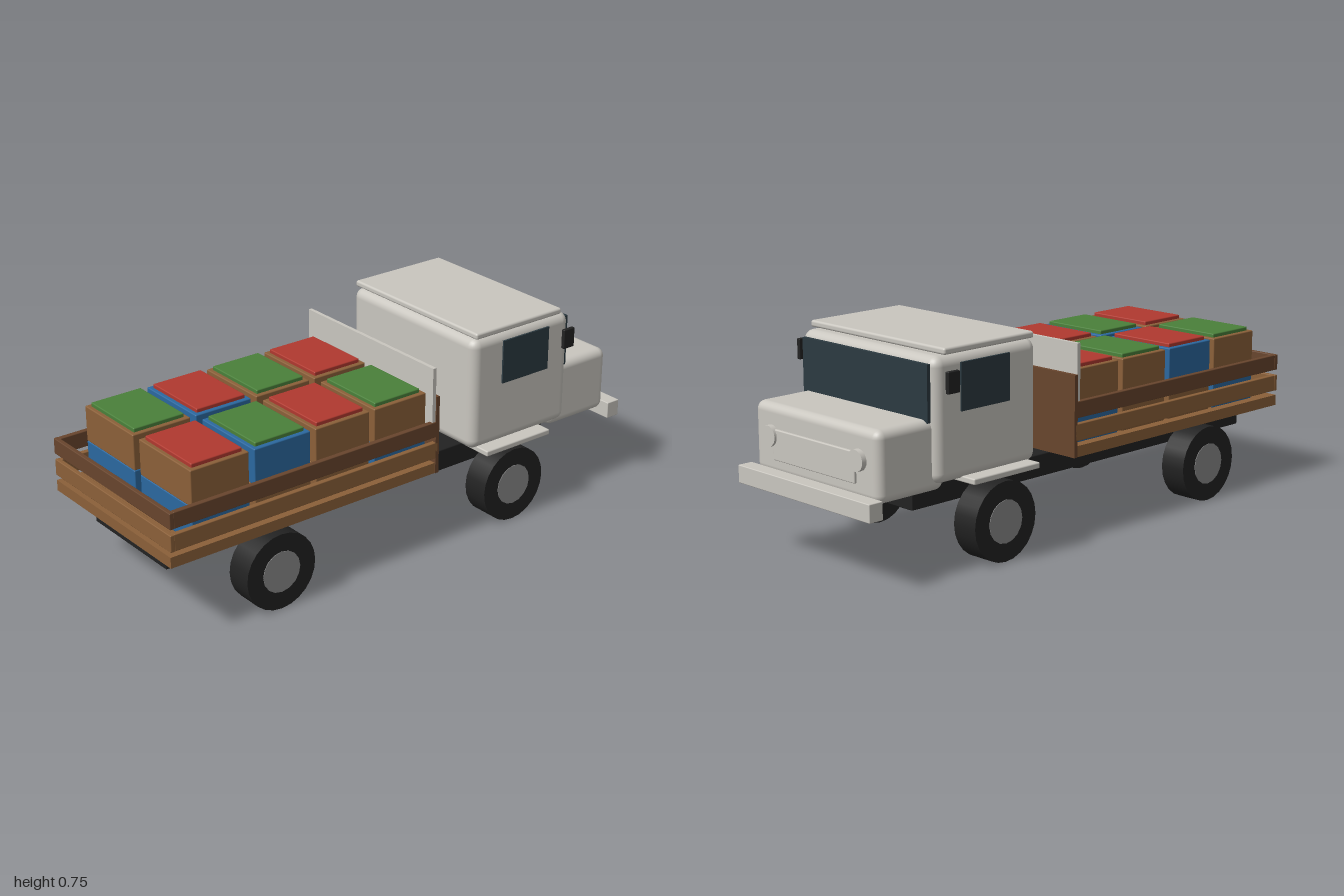
import * as THREE from 'three';
import { RoundedBoxGeometry } from 'three/addons/geometries/RoundedBoxGeometry.js';

const paint = (name, color) => {
  const m = new THREE.MeshStandardMaterial({ color });
  m.name = name;
  return m;
};

export function createModel() {
  const mat = {
    body: paint('offWhitePaint', 0xc9c6bf),
    black: paint('blackRubber', 0x222222),
    hub: paint('greyMetal', 0x8a8a8a),
    wood: paint('lightWood', 0x8b6039),
    darkWood: paint('darkWood', 0x68452d),
    blue: paint('bluePaint', 0x2b689f),
    green: paint('greenLid', 0x4a803a),
    red: paint('redLid', 0xb0392f),
    glass: paint('darkGlass', 0x2c3a41),
  };
  const truck = new THREE.Group();
  truck.name = 'cargoTruck';

  const add = (name, geometry, material, x, y, z, parent = truck) => {
    const mesh = new THREE.Mesh(geometry, material);
    mesh.name = name;
    mesh.position.set(x, y, z);
    parent.add(mesh);
    return mesh;
  };
  // Box given by its lower and upper limits; a radius rounds the edges
  const box = (name, material, [x0, x1], [y0, y1], [z0, z1], radius = 0, parent = truck) => {
    const size = [x1 - x0, y1 - y0, z1 - z0];
    const geometry = radius
      ? new RoundedBoxGeometry(...size, 3, radius)
      : new THREE.BoxGeometry(...size);
    return add(name, geometry, material, (x0 + x1) / 2, (y0 + y1) / 2, (z0 + z1) / 2, parent);
  };
  const sideBox = (name, material, side, x, y, z, radius, parent) =>
    box(name, material, side > 0 ? x : [-x[1], -x[0]], y, z, radius, parent);

  // Chassis
  box('chassis', mat.black, [-0.215, 0.215], [0.2, 0.28], [-0.72, 0.935], 0.004);

  // Wheels
  const tyreGeometry = new THREE.CylinderGeometry(0.1385, 0.1385, 0.1, 24).rotateZ(Math.PI / 2);
  const hubGeometry = new THREE.CylinderGeometry(0.075, 0.075, 0.104, 16).rotateZ(Math.PI / 2);
  for (const side of [-1, 1]) {
    for (const z of [-0.445, 0.585]) {
      const wheel = new THREE.Group();
      wheel.name = z < 0 ? 'cabWheel' : 'bedWheel';
      wheel.position.set(side * 0.316, 0.1385, z);
      add('tyre', tyreGeometry, mat.black, 0, 0, 0, wheel);
      add('hub', hubGeometry, mat.hub, 0, 0, 0, wheel);
      truck.add(wheel);
    }
  }

  // Cab, pointing to -z
  box('cab', mat.body, [-0.335, 0.335], [0.305, 0.723], [-0.722, -0.267], 0.035);
  box('roofPlate', mat.body, [-0.333, 0.333], [0.725, 0.748], [-0.68, -0.28], 0.008);
  box('hood', mat.body, [-0.312, 0.312], [0.28, 0.52], [-0.942, -0.66], 0.03);
  box('bumper', mat.body, [-0.333, 0.333], [0.242, 0.304], [-1, -0.944], 0.003);
  box('windshield', mat.glass, [-0.31, 0.31], [0.51, 0.7], [-0.734, -0.72]);
  box('grille', mat.body, [-0.205, 0.205], [0.335, 0.44], [-0.951, -0.935], 0.004);
  const lampGeometry = new THREE.CylinderGeometry(0.036, 0.036, 0.03, 20).rotateX(Math.PI / 2);
  for (const side of [-1, 1]) {
    add('headlight', lampGeometry, mat.body, side * 0.22, 0.415, -0.945);
    sideBox('sideWindow', mat.glass, side, [0.333, 0.341], [0.535, 0.695], [-0.615, -0.4]);
    sideBox('mirror', mat.black, side, [0.363, 0.378], [0.61, 0.682], [-0.705, -0.655], 0.003);
    sideBox('fender', mat.body, side, [0.26, 0.382], [0.295, 0.316], [-0.6, -0.3], 0.005);
  }

  // Cargo bed with slatted sides and tailgate
  box('bedFloor', mat.wood, [-0.347, 0.347], [0.285, 0.324], [-0.098, 1]);
  const slats = [[0.342, 0.402, mat.wood], [0.422, 0.48, mat.darkWood]];
  for (const [y0, y1, material] of slats) {
    for (const side of [-1, 1]) {
      sideBox('sideSlat', material, side, [0.331, 0.35], [y0, y1], [-0.1, 0.985], 0.003);
    }
    box('tailgateSlat', material, [-0.351, 0.351], [y0, y1], [0.983, 1], 0.003);
  }
  box('bedFrontPanel', mat.darkWood, [-0.35, 0.35], [0.285, 0.573], [-0.103, -0.088]);
  box('headboard', mat.body, [-0.347, 0.347], [0.43, 0.68], [-0.088, -0.074]);

  // Two layers of crates, the upper one with coloured lids
  for (let row = 0; row < 4; row++) {
    const z = 0.041 + row * 0.2465;
    [-1, 1].forEach((side, column) => {
      const crates = new THREE.Group();
      crates.name = 'crateStack';
      crates.position.set(side * 0.1655, 0, z);
      truck.add(crates);
      for (let layer = 0; layer < 2; layer++) {
        const y = 0.324 + layer * 0.129;
        const material = (row + layer) % 3 === 0 ? mat.blue : mat.wood;
        box('crate', material, [-0.148, 0.148], [y, y + 0.129], [-0.1125, 0.1125], 0.004, crates);
      }
      const lidMaterial = (row + column) % 2 ? mat.green : mat.red;
      box('crateLid', lidMaterial, [-0.132, 0.132], [0.578, 0.596], [-0.098, 0.098], 0.004, crates);
    });
  }
  return truck;
}
